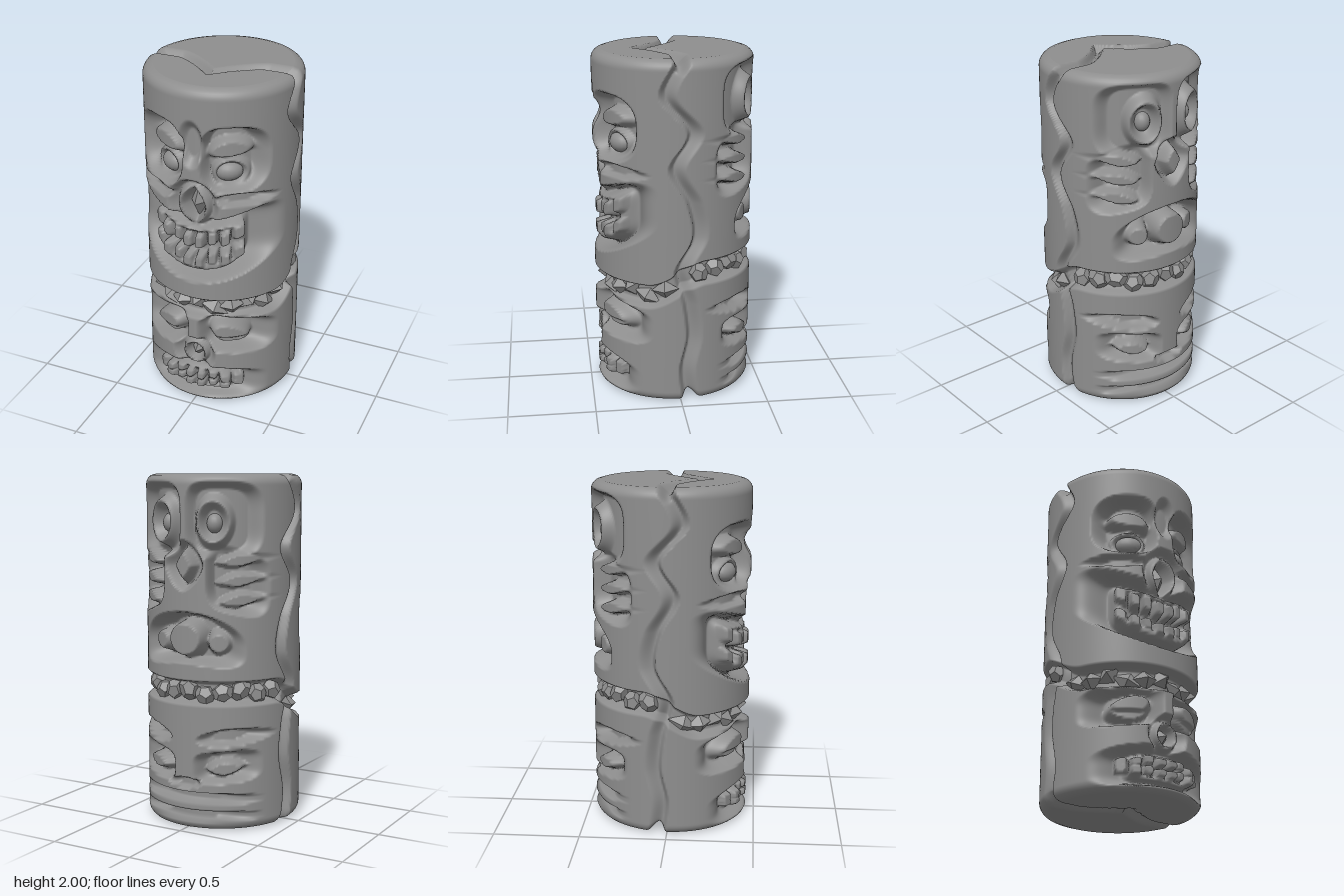
import * as THREE from 'three';

const RX = 0.445, RZ = 0.46, BEVEL = 0.06;
const { smoothstep: sm, lerp: mix } = THREE.MathUtils;

// nested carving outlines, mirrored in x: each depth is a level, each outline shrinks inward;
// tilt and bend warp the outline, power runs from diamond (1) over oval (2) to boxy (4)
function carve(depths, cx, cy, rx, ry, { tilt = 0, bend = 0, power = 2, shrink = 0.8 } = {}) {
  return depths.map((depth, i) => {
    const s = shrink ** i, small = Math.min(rx, ry) * s;
    return (d, x, y) => {
      const dx = x - cx, dy = y - cy - tilt * dx - bend * dx * dx;
      const f = (Math.abs(dx / rx) ** power + Math.abs(dy / ry) ** power) ** (1 / power) / s;
      return f < 1 ? mix(d, depth, sm((1 - f) * small, 0, Math.min(0.045, small / 2))) : d;
    };
  });
}
// uneven row of teeth following a curved jaw
function teeth(count, y, height, bend) {
  return Array.from({ length: count }, (_, i) => {
    const x = 0.075 * (i + 0.5), odd = i % 2;
    return carve([0.01 + odd * 0.015], x, y + bend * x * x + odd * 0.012, 0.04, height, { tilt: 2 * bend * x, power: 4 });
  }).flat();
}

const upperFront = [
  ...carve([0.05], 0, 1.68, 0.08, 0.15),                                       // bridge
  ...carve([0.11], 0.215, 1.6, 0.17, 0.2, { power: 3 }),                       // eye socket
  ...carve([0.04], 0.21, 1.65, 0.17, 0.07, { tilt: 0.1, bend: -1 }),           // brow
  ...carve([0.045, 0.11], 0.22, 1.5, 0.135, 0.1),                              // eye rim
  ...carve([0.06], 0.26, 1.36, 0.16, 0.045),                                   // cheek crease
  ...carve([0.13, 0.03], 0, 1.03, 0.43, 0.205, { bend: 0.8, power: 5 }),       // jaw groove and muzzle
  ...carve([0.1], 0, 1.04, 0.32, 0.115, { bend: 0.8, power: 5 }),              // mouth
  ...teeth(4, 1.085, 0.06, 0.8),
  ...teeth(4, 0.96, 0.05, 0.8),
  ...carve([0.07, 0.02], 0, 1.31, 0.16, 0.17),                                 // nose ring
  ...carve([0.14], 0, 1.3, 0.085, 0.13, { power: 1.5 }),
];
const lowerFront = [
  ...carve([0.11], 0.22, 0.475, 0.2, 0.125, { tilt: -0.1, power: 4 }),         // eye socket
  ...carve([0.02], 0.21, 0.48, 0.155, 0.085, { tilt: -0.2 }),                  // eyelid
  ...carve([0.05], 0.21, 0.43, 0.12, 0.03, { bend: 2 }),
  ...carve([0.08, 0.015], 0, 0.33, 0.14, 0.125),                               // nose ring
  ...carve([0.11], 0, 0.33, 0.07, 0.07),
  ...carve([0.11, 0.015, 0.1], 0, 0.145, 0.39, 0.12, { bend: -0.2, power: 4, shrink: 0.76 }), // mouth
  ...teeth(4, 0.17, 0.033, -0.3),
  ...teeth(4, 0.115, 0.03, 0),
];
const upperBack = [
  ...carve([0.07], 0.2, 1.75, 0.19, 0.215, { power: 4 }),                      // eye recess
  ...carve([0.005], 0.17, 1.74, 0.125, 0.165),                                 // eye rim
  ...carve([0.08], 0.17, 1.74, 0.085, 0.115),
  ...carve([0.1], 0.27, 1.42, 0.14, 0.19, { tilt: -0.3, power: 4 }),           // cheek panel
  ...[0, 1, 2].flatMap(i => carve([0.01], 0.3, 1.53 - 0.11 * i, 0.14, 0.05, { tilt: 0.15, power: 1.5 })),
  ...carve([0.08], 0, 1.5, 0.13, 0.15, { power: 1.5 }),                        // nose
  ...carve([0], 0, 1.5, 0.08, 0.12, { power: 1.2 }),
  ...carve([0.13], 0, 1.1, 0.33, 0.15, { bend: -0.7, power: 3 }),              // mouth
  ...carve([0.03], 0.2, 1.07, 0.09, 0.085),
  ...carve([0.005], 0, 1.09, 0.14, 0.125),                                     // tongue
];
const lowerBack = [
  ...carve([0.09], 0.25, 0.54, 0.18, 0.055, { tilt: 0.1 }),                    // brow slit
  ...carve([0.09], 0.22, 0.37, 0.17, 0.1, { tilt: 0.1, power: 4 }),            // eye recess
  ...carve([0.01], 0.23, 0.36, 0.13, 0.06, { tilt: 0.1, power: 1.5 }),
  ...carve([0.06], 0, 0.27, 0.12, 0.035),
  ...[0.185, 0.085].flatMap(y => carve([0.09], 0, y, 0.4, 0.037, { power: 4 })), // mouth slits
];

// wandering joint between the halves: z at every 0.2 of height, then over the ends
const sideJoint = new THREE.SplineCurve(
  [-0.02, 0, -0.04, -0.02, 0.03, -0.07, -0.04, 0.06, -0.04, 0.11, 0.03].map((z, i) => new THREE.Vector2(z, i / 5)));
const endJoint = (x, edge, rise) => edge + rise * Math.max(0, 1 - Math.abs(x) / 0.26) ** 1.4;
const step = s => 0.05 * sm(s, -0.02, 0.015) * (1 - sm(s, 0.015, 0.09));

// necklace centre height by z and by angle
const bandAt = z => mix(0.79, 0.65, sm(z, -0.15, 0.2));
const bandY = t => bandAt(RZ * Math.cos(t));

function carving(x, y, z) {
  const ax = Math.abs(x), yc = bandAt(z), upper = y > yc;
  const cuts = z > 0 ? (upper ? upperFront : lowerFront) : (upper ? upperBack : lowerBack);
  let d = cuts.reduce((depth, cut) => cut(depth, ax, y), 0);
  d = mix(d, 0.08, 1 - sm(Math.abs(y - yc), 0.04, 0.078));
  return ax > 0.3 ? d + step(sideJoint.getPoint(y / 2).x - z) : d;
}

// point on the pole; ring below 1 moves inward over the flat ends
function polePoint(t, y, ring = 1) {
  const e = Math.max(0, BEVEL - y, y - 2 + BEVEL), sx = Math.sin(t), cz = Math.cos(t);
  const inset = BEVEL - Math.sqrt(Math.max(0, BEVEL * BEVEL - e * e)) + carving(RX * sx, y, RZ * cz);
  const x = (RX - inset) * sx * ring, z = (RZ - inset) * cz * ring;
  const drop = step(endJoint(x, 0.03, 0.19) - z) * sm(y, 1.9, 2);
  const lift = step(endJoint(x, -0.03, 0.13) - z) * (1 - sm(y, 0, 0.1));
  return new THREE.Vector3(x, y - drop + lift, z);
}

export function createModel() {
  const group = new THREE.Group();
  const mat = new THREE.MeshStandardMaterial({ color: 0x8e8e8e });
  const facetMat = new THREE.MeshStandardMaterial({ color: 0x8e8e8e, flatShading: true });

  // grid patch of a surface f(angle, v) with smooth normals
  function patch(name, t0, t1, nt, nv, f) {
    const pos = [], nor = [], idx = [], h = 0.003;
    for (let j = 0; j <= nv; j++) for (let i = 0; i <= nt; i++) {
      const t = mix(t0, t1, i / nt), v = j / nv;
      pos.push(...f(t, v).toArray());
      const du = f(t + h, v).sub(f(t - h, v)), dv = f(t, Math.min(1, v + h)).sub(f(t, Math.max(0, v - h)));
      nor.push(...du.cross(dv).normalize().toArray());
      if (i < nt && j < nv) {
        const a = j * (nt + 1) + i, b = a + nt + 1;
        idx.push(a, a + 1, b + 1, a, b + 1, b);
      }
    }
    const g = new THREE.BufferGeometry();
    g.setAttribute('position', new THREE.Float32BufferAttribute(pos, 3));
    g.setAttribute('normal', new THREE.Float32BufferAttribute(nor, 3));
    g.setIndex(idx);
    const m = new THREE.Mesh(g, mat);
    m.name = name;
    group.add(m);
  }

  // carved halves, necklace channel and ends
  const q = Math.PI / 2;
  for (const [side, a] of [['Front', -q], ['Back', q]]) {
    patch('upper' + side + 'Face', a, a + Math.PI, 140, 120, (t, v) => polePoint(t, mix(bandY(t) + 0.08, 2, v)));
    patch('lower' + side + 'Face', a, a + Math.PI, 140, 60, (t, v) => polePoint(t, mix(0, bandY(t) - 0.08, v)));
  }
  patch('necklaceChannel', -q, 3 * q, 280, 14, (t, v) => polePoint(t, bandY(t) + mix(-0.08, 0.08, v)));
  patch('topEnd', -q, 3 * q, 280, 40, (t, v) => polePoint(t, 2, Math.max(0.001, 1 - v)));
  patch('bottomEnd', -q, 3 * q, 280, 16, (t, v) => polePoint(t, 0, Math.max(0.001, v)));

  // rounded or faceted piece set into the surface
  function inlay(name, geo, material, t, y, depth, size, roll = 0) {
    const m = new THREE.Mesh(geo, material);
    m.name = name;
    m.position.set((RX - depth) * Math.sin(t), y, (RZ - depth) * Math.cos(t));
    m.rotation.set(0, t, roll, 'YXZ');
    m.scale.set(...size);
    group.add(m);
  }
  const ball = new THREE.SphereGeometry(1, 18, 12);
  const stone = new THREE.DodecahedronGeometry(1);
  const fang = new THREE.OctahedronGeometry(1);

  // eyes and nose tips
  for (const s of [-1, 1]) {
    inlay('frontEye', ball, mat, s * 0.5, 1.5, 0.11, [0.08, 0.058, 0.06]);
    inlay('backPupil', ball, mat, Math.PI - s * 0.4, 1.73, 0.085, [0.045, 0.055, 0.05]);
  }
  inlay('frontNoseTip', fang, facetMat, 0, 1.3, 0.12, [0.05, 0.1, 0.07]);
  inlay('lowerNoseTip', fang, facetMat, 0, 0.33, 0.1, [0.045, 0.055, 0.07]);

  // necklace: rounded stones behind, pointed ones in front
  for (let i = 0; i < 11; i++) {
    const t = Math.PI + (i / 5 - 1) * 1.3, k = i % 3;
    inlay('necklaceStone', stone, facetMat, t, bandY(t) + (k - 1) * 0.015, 0.065, [0.055, 0.06 + k * 0.005, 0.055], i * 0.7);
    const u = (i / 5 - 1) * 1.35;
    inlay('necklaceFang', fang, facetMat, u, bandY(u) + (k - 1) * 0.02, 0.075, [0.09 - k * 0.01, 0.055, 0.045 + k * 0.008], k * 0.5 - 0.4);
  }
  return group;
}
